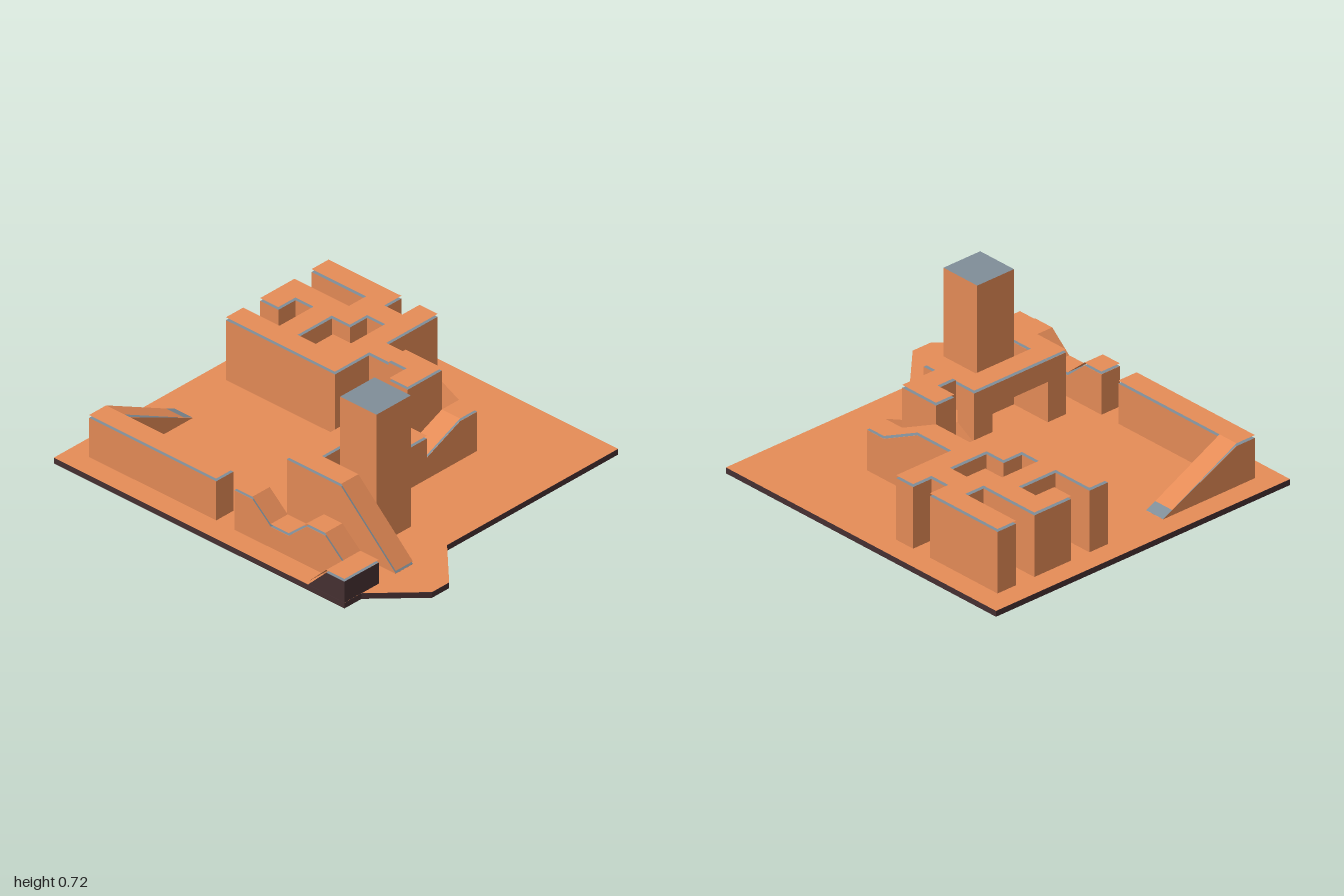
import * as THREE from 'three';

const U = 1 / 9;          // plan grid cell
const GROUND = 0.03;
const FLOOR = 0.031;      // foot of the walls, just clear of the ground sheet
const GAP = 0.015;        // roofs float this far above their walls
const LOW = 0.14, MID = 0.236, HIGH = 0.345, TOP = 0.455, TOWER = 0.72;

const orange = new THREE.MeshStandardMaterial({ color: 0xe68c57 });
const roofMat = new THREE.MeshStandardMaterial({ color: 0xe68c57, side: THREE.DoubleSide });
const grey = new THREE.MeshStandardMaterial({ color: 0x808e98 });
const dark = new THREE.MeshStandardMaterial({ color: 0x463032 });

// Plan outline in grid cells [x, z] to a shape; holes wind the other way
function plan(points, hole) {
  const vec = (list) => list.map(([x, z]) => new THREE.Vector2(x * U, -z * U));
  const shape = new THREE.Shape(vec(points));
  if (hole) shape.holes.push(new THREE.Path(vec(hole).reverse()));
  return shape;
}

const rect = (x0, x1, z0, z1) => [[x0, z0], [x1, z0], [x1, z1], [x0, z1]];

function add(parent, name, geometry, material) {
  const mesh = new THREE.Mesh(geometry, material);
  mesh.name = name;
  parent.add(mesh);
  return mesh;
}

// Flat sheet over a plan outline
function sheet(parent, name, shape, y) {
  const geo = new THREE.ShapeGeometry(shape).rotateX(-Math.PI / 2).translate(0, y, 0);
  return add(parent, name, geo, roofMat);
}

// Straight-walled block with a grey wall top and an optional floating roof
function block(parent, name, points, y0, y1, hole, roofed = true) {
  const g = new THREE.Group();
  g.name = name;
  const shape = plan(points, hole);
  const walls = new THREE.ExtrudeGeometry(shape, { depth: y1 - y0, bevelEnabled: false });
  add(g, name + 'Walls', walls.rotateX(-Math.PI / 2).translate(0, y0, 0), [grey, orange]);
  if (roofed) sheet(g, name + 'Roof', shape, y1 + GAP);
  parent.add(g);
}

// Folded strip following a profile of [cell, height]
function strip(profile, width, lift) {
  const pos = [];
  for (let i = 0; i + 1 < profile.length; i++) {
    const [s0, y0] = profile[i], [s1, y1] = profile[i + 1];
    const a = [s0 * U, y0 + lift, 0], b = [s0 * U, y0 + lift, width];
    const c = [s1 * U, y1 + lift, width], d = [s1 * U, y1 + lift, 0];
    pos.push(...a, ...b, ...c, ...a, ...c, ...d);
  }
  const geo = new THREE.BufferGeometry();
  geo.setAttribute('position', new THREE.Float32BufferAttribute(pos, 3));
  geo.computeVertexNormals();
  return geo;
}

// Sloping wall, one cell wide, along x or z, starting at cell `side` across;
// a grounded roof runs down to meet the ground at its start
function ramp(parent, name, profile, axis, side, { wallMat = orange, grounded = false } = {}) {
  const g = new THREE.Group();
  g.name = name;
  const first = profile[0], last = profile[profile.length - 1];
  const foot = FLOOR - 0.0005;
  const outline = [[first[0], foot], [last[0], foot], ...[...profile].reverse()];
  const shape = new THREE.Shape(outline.map(([s, y]) => new THREE.Vector2(s * U, y)));
  add(g, name + 'Walls', new THREE.ExtrudeGeometry(shape, { depth: U, bevelEnabled: false }), wallMat);
  add(g, name + 'WallTop', strip(profile, U, 0.001), grey);
  const roof = grounded ? [[first[0], GROUND - GAP], ...profile.slice(1)] : profile;
  add(g, name + 'Roof', strip(roof, U, GAP), roofMat);
  if (axis === 'x') {
    g.position.z = side * U;
  } else {
    g.rotation.y = -Math.PI / 2;
    g.position.x = (side + 1) * U;
  }
  parent.add(g);
}

export function createModel() {
  const model = new THREE.Group();
  model.name = 'cityBlock';

  // Base: dark rim with a stepped opening underneath, and a ground sheet with a side spur
  const ground = [[-9, -8], [7, -8], [7, 2], [9, 4], [9, 5], [7, 7], [7, 8], [-9, 8]];
  const opening = [[-8, -6], [5, -6], [5, 2], [6, 2], [6, 7.5], [-8.7, 7.5], [-8.7, 2], [-8, 2]];
  const rim = new THREE.ExtrudeGeometry(plan(ground, opening), { depth: GROUND - 0.001, bevelEnabled: false });
  add(model, 'baseRim', rim.rotateX(-Math.PI / 2), dark);
  sheet(model, 'ground', plan(ground), GROUND);

  // Large rear building with winding courts
  block(model, 'rearBuilding', [
    [-8, -7], [-4, -7], [-4, -6], [-3, -6], [-3, -7], [-2, -7], [-2, -4], [0, -4], [0, -3], [-2, -3],
    [-2, -1], [-8, -1], [-8, -2], [-6, -2], [-6, -4], [-7, -4], [-7, -3], [-8, -3],
    [-8, -5], [-5, -5], [-5, -6], [-8, -6],
  ], FLOOR, HIGH, [[-4, -5], [-3, -5], [-3, -3], [-4, -3], [-4, -2], [-5, -2], [-5, -4], [-4, -4]]);

  // Walkway descending around the central block
  ramp(model, 'upperRamp', [[0, HIGH], [2, MID], [3, MID]], 'x', -4);
  ramp(model, 'middleRamp', [[-3, MID], [-1, LOW]], 'z', 2);
  ramp(model, 'lowerRamp', [[0, FLOOR], [2, LOW], [3, LOW]], 'x', -1, { grounded: true });
  block(model, 'centralBlock', [[0, -3], [2, -3], [2, -1], [1, -1], [1, -2], [0, -2]], FLOOR, TOP);

  // Bridge building: pillar, overhanging wing, span, front wall and ramp
  block(model, 'bridgePillar', rect(1, 2, 0, 1), FLOOR, HIGH);
  block(model, 'overhangingWing', rect(2, 4, 0, 1), MID, HIGH);
  block(model, 'bridgeSpan', rect(1, 2, 1, 4), MID, HIGH);
  ramp(model, 'bridgeRamp', [[1, HIGH], [4, HIGH], [7, FLOOR]], 'x', 4);

  // Tower with a bare grey top
  block(model, 'tower', rect(3, 5, 2, 4), FLOOR, TOWER, null, false);

  // Front left wall and its ramp
  block(model, 'frontWall', rect(-8, -1, 6, 7), FLOOR, MID);
  ramp(model, 'frontWallRamp', [[2, FLOOR], [6, MID]], 'z', -8, { grounded: true });

  // Undulating front wall and the dark corner ramp
  ramp(model, 'wavyWall', [[0, MID], [1, MID], [2, LOW], [3, LOW], [4, MID], [5, MID], [6, LOW], [7, LOW]], 'x', 6);
  ramp(model, 'cornerRamp', [[5, FLOOR], [6, LOW], [7, LOW]], 'x', 7, { wallMat: dark });
  const panel = new THREE.BoxGeometry(0.002, LOW - GROUND, U);
  add(model, 'cornerPanel', panel, dark).position.set(7 * U, (LOW + GROUND) / 2, 6.5 * U);

  return model;
}
